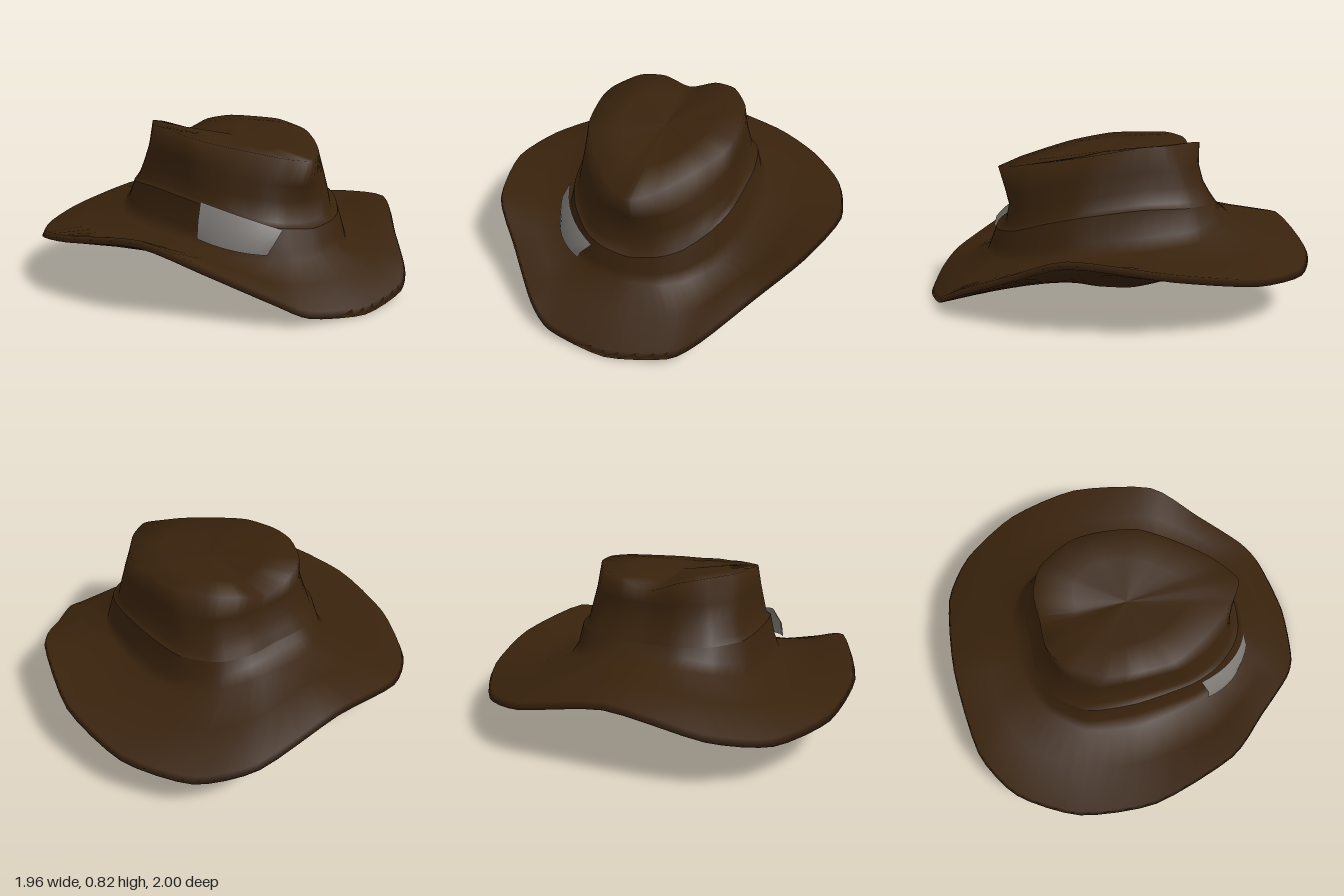
import * as THREE from 'three';

const SEGMENTS = 72;

// Half outline (front to back on the left side) mirrored into a smooth closed ring
function ring(half) {
  const left = half.map(p => new THREE.Vector3(...p));
  const right = left.slice(1, -1).reverse().map(p => new THREE.Vector3(-p.x, p.y, p.z));
  const curve = new THREE.CatmullRomCurve3([...left, ...right], true, 'catmullrom', 0.35);
  return Array.from({ length: SEGMENTS }, (_, i) => curve.getPoint(i / SEGMENTS));
}

const point = (x, y, z) => Array.from({ length: SEGMENTS }, () => new THREE.Vector3(x, y, z));

// Smooth skin joining successive rings
function loft(name, rings, material) {
  const index = [];
  for (let i = 0; i < rings.length - 1; i++) {
    for (let j = 0; j < SEGMENTS; j++) {
      const k = (j + 1) % SEGMENTS;
      const a = i * SEGMENTS + j, b = i * SEGMENTS + k;
      index.push(a, b, b + SEGMENTS, a, b + SEGMENTS, a + SEGMENTS);
    }
  }
  const geometry = new THREE.BufferGeometry().setFromPoints(rings.flat());
  geometry.setIndex(index);
  geometry.computeVertexNormals();
  const mesh = new THREE.Mesh(geometry, material);
  mesh.name = name;
  return mesh;
}

export function createModel() {
  const brown = new THREE.MeshStandardMaterial({ color: 0x38220c });
  brown.name = 'brown felt';
  const grey = new THREE.MeshStandardMaterial({ color: 0x7f7b77, side: THREE.DoubleSide });
  grey.name = 'grey patch';

  // Brim outlines, curled up at the sides and dipping at the front
  const rimHalf = [
    [0, 0, 1], [0.31, 0.035, 0.95], [0.45, 0.105, 0.86], [0.65, 0.22, 0.62], [0.85, 0.33, 0.37],
    [0.98, 0.28, -0.09], [0.93, 0.22, -0.5], [0.74, 0.2, -0.81], [0.47, 0.245, -0.965], [0, 0.335, -1]];
  const rim = ring(rimHalf);
  const rimTop = ring(rimHalf.map(([x, y, z]) => [x * 0.985, y + 0.033, z * 0.985]));
  const brimMid = ring([
    [0, 0.125, 0.84], [0.27, 0.14, 0.8], [0.4, 0.175, 0.71], [0.54, 0.245, 0.54], [0.69, 0.3, 0.31],
    [0.76, 0.285, -0.08], [0.71, 0.28, -0.42], [0.55, 0.3, -0.67], [0.33, 0.35, -0.79], [0, 0.4, -0.8]]);
  const base = ring([
    [0, 0.22, 0.69], [0.16, 0.22, 0.665], [0.28, 0.22, 0.6], [0.4, 0.24, 0.47], [0.49, 0.28, 0.28],
    [0.555, 0.31, -0.07], [0.51, 0.33, -0.36], [0.37, 0.38, -0.54], [0.2, 0.415, -0.62], [0, 0.42, -0.65]]);
  const bandLow = ring([
    [0, 0.27, 0.67], [0.16, 0.275, 0.645], [0.275, 0.285, 0.58], [0.385, 0.31, 0.455], [0.465, 0.34, 0.27],
    [0.5, 0.365, -0.07], [0.475, 0.385, -0.34], [0.35, 0.43, -0.51], [0.185, 0.46, -0.57], [0, 0.465, -0.575]]);

  // Band and crown outlines
  const bandTop = ring([
    [0, 0.345, 0.64], [0.15, 0.36, 0.615], [0.26, 0.38, 0.55], [0.37, 0.43, 0.42], [0.44, 0.47, 0.25],
    [0.478, 0.505, -0.07], [0.45, 0.5, -0.32], [0.33, 0.5, -0.48], [0.17, 0.5, -0.54], [0, 0.5, -0.54]]);
  const crownBase = ring([
    [0, 0.365, 0.585], [0.145, 0.38, 0.57], [0.245, 0.4, 0.515], [0.355, 0.45, 0.385], [0.42, 0.49, 0.23],
    [0.445, 0.525, -0.07], [0.42, 0.525, -0.31], [0.32, 0.535, -0.46], [0.16, 0.54, -0.515], [0, 0.54, -0.515]]);
  const crownLow = ring([
    [0, 0.47, 0.567], [0.14, 0.48, 0.55], [0.235, 0.5, 0.495], [0.34, 0.53, 0.37], [0.41, 0.56, 0.21],
    [0.427, 0.6, -0.07], [0.405, 0.6, -0.29], [0.3, 0.6, -0.43], [0.155, 0.6, -0.48], [0, 0.6, -0.478]]);
  const crownMid = ring([
    [0, 0.55, 0.585], [0.125, 0.56, 0.55], [0.215, 0.58, 0.49], [0.32, 0.62, 0.355], [0.395, 0.66, 0.185],
    [0.408, 0.69, -0.07], [0.39, 0.69, -0.26], [0.287, 0.69, -0.4], [0.15, 0.69, -0.457], [0, 0.68, -0.455]]);
  const crownTop = ring([
    [0, 0.68, 0.62], [0.1, 0.69, 0.56], [0.18, 0.71, 0.48], [0.29, 0.74, 0.33], [0.385, 0.775, 0.15],
    [0.4, 0.81, -0.07], [0.38, 0.815, -0.22], [0.28, 0.82, -0.39], [0.15, 0.8, -0.46], [0, 0.75, -0.46]]);
  // Shallow lengthwise crease across the top
  const dish = ring([
    [0, 0.715, 0.36], [0.06, 0.715, 0.33], [0.11, 0.725, 0.28], [0.17, 0.745, 0.2], [0.23, 0.775, 0.08],
    [0.24, 0.785, -0.07], [0.23, 0.79, -0.15], [0.17, 0.79, -0.24], [0.09, 0.77, -0.27], [0, 0.745, -0.27]]);

  // Closed underside, a shallow bowl below the brim
  const bowlHeights = [0.06, 0.065, 0.085, 0.14, 0.19, 0.2, 0.19, 0.19, 0.195, 0.2];
  const bowl = ring(rimHalf.map(([x, , z], i) => [x * 0.61, bowlHeights[i], z * 0.61]));
  const bowlFloor = ring(rimHalf.map(([x, , z]) => [x * 0.34, z < 0 ? 0.06 - z * 0.025 : 0.065, z * 0.34]));

  const model = new THREE.Group();
  model.name = 'hat';
  model.add(
    loft('brim', [point(0, 0.055, 0), bowlFloor, bowl, rim, rimTop, brimMid, base, bandLow, bandTop], brown),
    loft('crown', [bandTop, crownBase, crownLow, crownMid, crownTop, dish, point(0, 0.755, 0)], brown));

  // Bowed patch on the right front of the band
  const top = new THREE.QuadraticBezierCurve3(
    new THREE.Vector3(-0.445, 0.482, 0.3), new THREE.Vector3(-0.385, 0.44, 0.54), new THREE.Vector3(-0.195, 0.365, 0.63));
  const bottom = new THREE.QuadraticBezierCurve3(
    new THREE.Vector3(-0.497, 0.31, 0.34), new THREE.Vector3(-0.45, 0.27, 0.54), new THREE.Vector3(-0.285, 0.25, 0.62));
  const patchGeometry = new THREE.PlaneGeometry(1, 1, 8, 2);
  const position = patchGeometry.attributes.position;
  for (let i = 0; i < position.count; i++) {
    const t = position.getX(i) + 0.5, h = position.getY(i) + 0.5;
    const bulge = 0.06 * h * (1 - h);
    const p = bottom.getPoint(t).lerp(top.getPoint(t), h);
    position.setXYZ(i, p.x - bulge, p.y, p.z + bulge);
  }
  patchGeometry.computeVertexNormals();
  const patch = new THREE.Mesh(patchGeometry, grey);
  patch.name = 'bandPatch';
  model.add(patch);
  return model;
}
